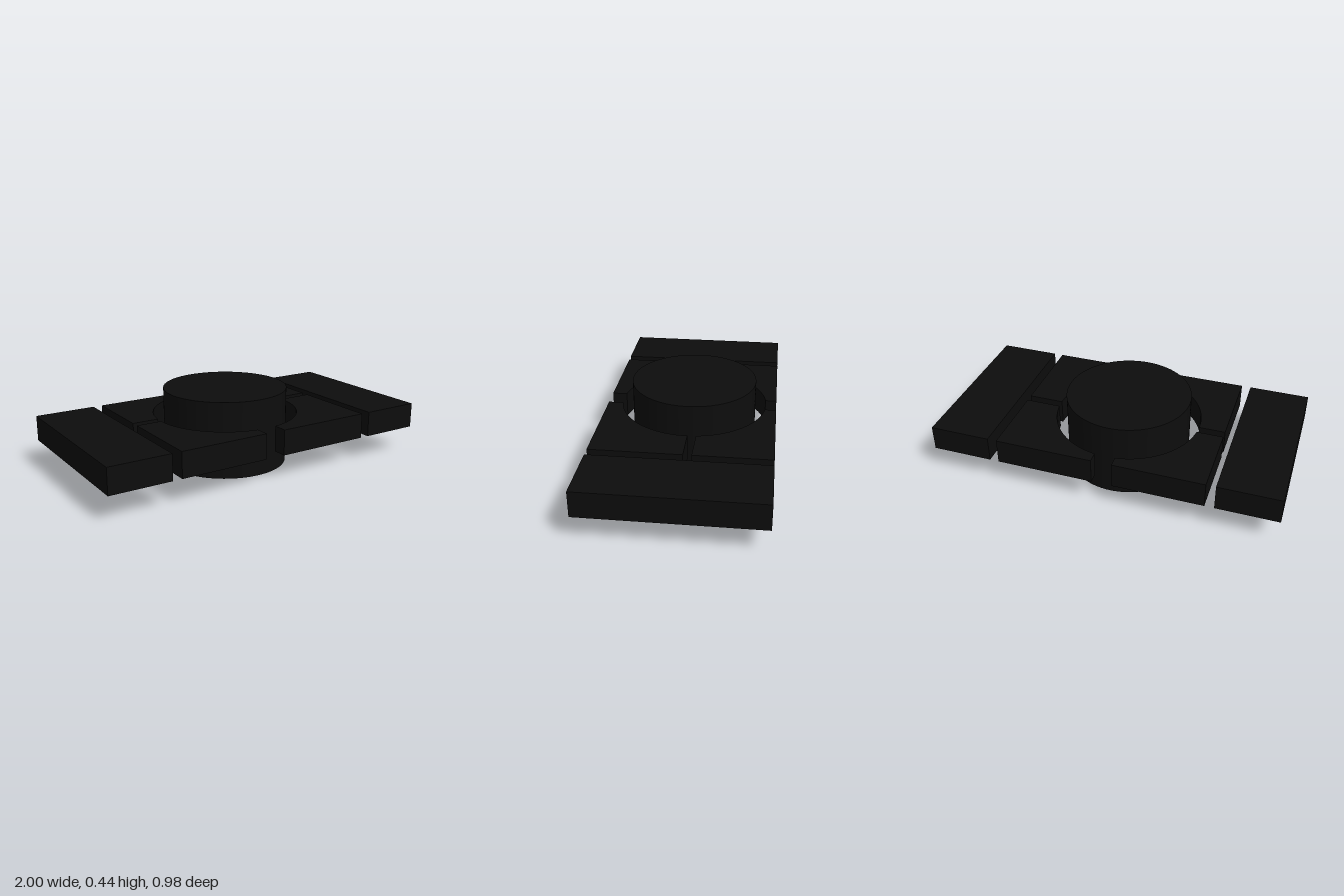
import * as THREE from 'three';

export function createModel() {
  const model = new THREE.Group();
  const material = new THREE.MeshStandardMaterial({ color: 0x0d0d0d });
  const bottom = 0.147, top = 0.293, thickness = top - bottom;
  const cx = -0.026, cz = -0.01;

  function add(name, geometry, x = 0, y = 0, z = 0) {
    const mesh = new THREE.Mesh(geometry, material);
    mesh.name = name;
    mesh.position.set(x, y, z);
    model.add(mesh);
  }

  // Central solid drum, running through the plates
  add('drum', new THREE.CylinderGeometry(0.358, 0.358, 0.438, 96), cx, 0.219, cz);

  // Outer slabs at both ends
  for (const [name, side] of [['leftSlab', 1], ['rightSlab', -1]]) {
    add(name, new THREE.BoxGeometry(0.35, thickness, 0.98), side * 0.825, (top + bottom) / 2, 0);
  }

  // Corner plate with a round bite taken from its inner corner
  function cornerPlate(sx, sz, innerX, innerZ) {
    const r = 0.42, outerX = sx * 0.597, outerZ = sz * 0.49;
    const dx = innerX - cx, dz = innerZ - cz;
    const startZ = sz * Math.sqrt(r * r - dx * dx);
    const endX = sx * Math.sqrt(r * r - dz * dz);
    const shape = new THREE.Shape();
    shape.moveTo(outerX, outerZ);
    shape.lineTo(innerX, outerZ);
    shape.lineTo(innerX, cz + startZ);
    shape.absarc(cx, cz, r, Math.atan2(startZ, dx), Math.atan2(dz, endX), sx * sz > 0);
    shape.lineTo(outerX, innerZ);
    shape.closePath();
    const geometry = new THREE.ExtrudeGeometry(shape, { depth: thickness, bevelEnabled: false, curveSegments: 24 });
    return geometry.rotateX(Math.PI / 2).translate(0, top, 0);
  }

  // Four corner plates around the drum, separated by narrow gaps
  add('frontLeftPlate', cornerPlate(1, 1, 0.037, -0.017));
  add('backLeftPlate', cornerPlate(1, -1, 0.037, -0.063));
  add('frontRightPlate', cornerPlate(-1, 1, -0.08, -0.014));
  add('backRightPlate', cornerPlate(-1, -1, -0.08, -0.06));

  return model;
}
